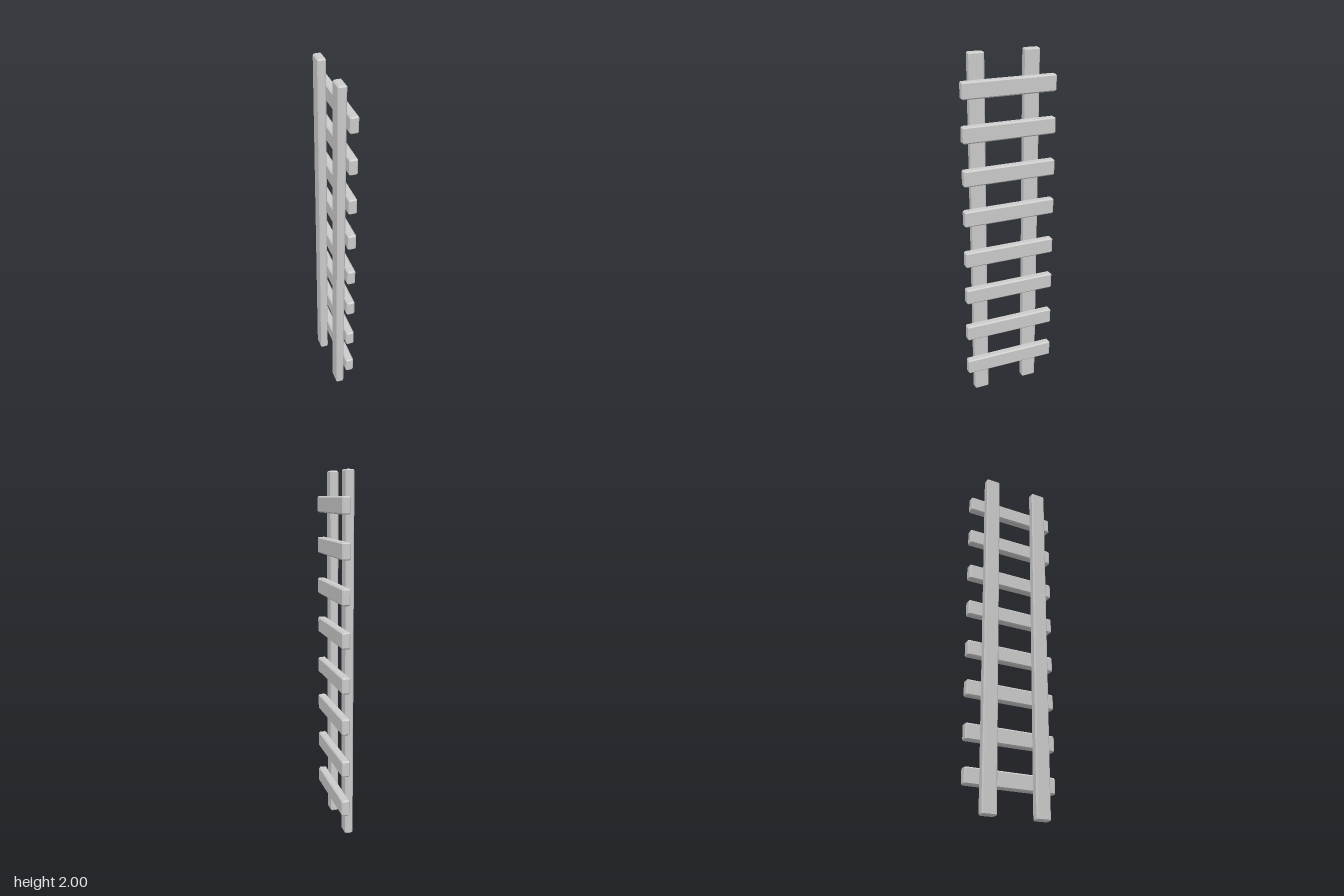
import * as THREE from 'three';
import { ConvexGeometry } from 'three/addons/geometries/ConvexGeometry.js';

const material = new THREE.MeshStandardMaterial({ color: 0xcccccc, flatShading: true });

// Box with every edge cut by a flat chamfer c: three points around each corner
function chamferedBox(w, h, d, c) {
  const points = [];
  const [x, y, z] = [w / 2, h / 2, d / 2];
  for (const sx of [-1, 1]) for (const sy of [-1, 1]) for (const sz of [-1, 1]) {
    points.push(
      new THREE.Vector3(sx * x, sy * (y - c), sz * (z - c)),
      new THREE.Vector3(sx * (x - c), sy * y, sz * (z - c)),
      new THREE.Vector3(sx * (x - c), sy * (y - c), sz * z)
    );
  }
  return new ConvexGeometry(points);
}

export function createModel() {
  const model = new THREE.Group();
  model.name = 'ladder';

  const add = (name, geometry, x, y, z) => {
    const mesh = new THREE.Mesh(geometry, material);
    mesh.name = name;
    mesh.position.set(x, y, z);
    model.add(mesh);
  };

  // Two upright rails
  const rail = chamferedBox(0.046, 2, 0.085, 0.007);
  add('frontRail', rail, -0.021, 1, 0.167);
  add('backRail', rail, -0.021, 1, -0.141);

  // Rungs fixed to the +x face of the rails, slightly unevenly spaced
  const rung = chamferedBox(0.046, 0.09, 0.528, 0.007);
  const rungHeights = [0.193, 0.421, 0.659, 0.887, 1.13, 1.358, 1.592, 1.82];
  rungHeights.forEach((y, i) => add(`rung${i + 1}`, rung, 0.02, y, 0));

  return model;
}
